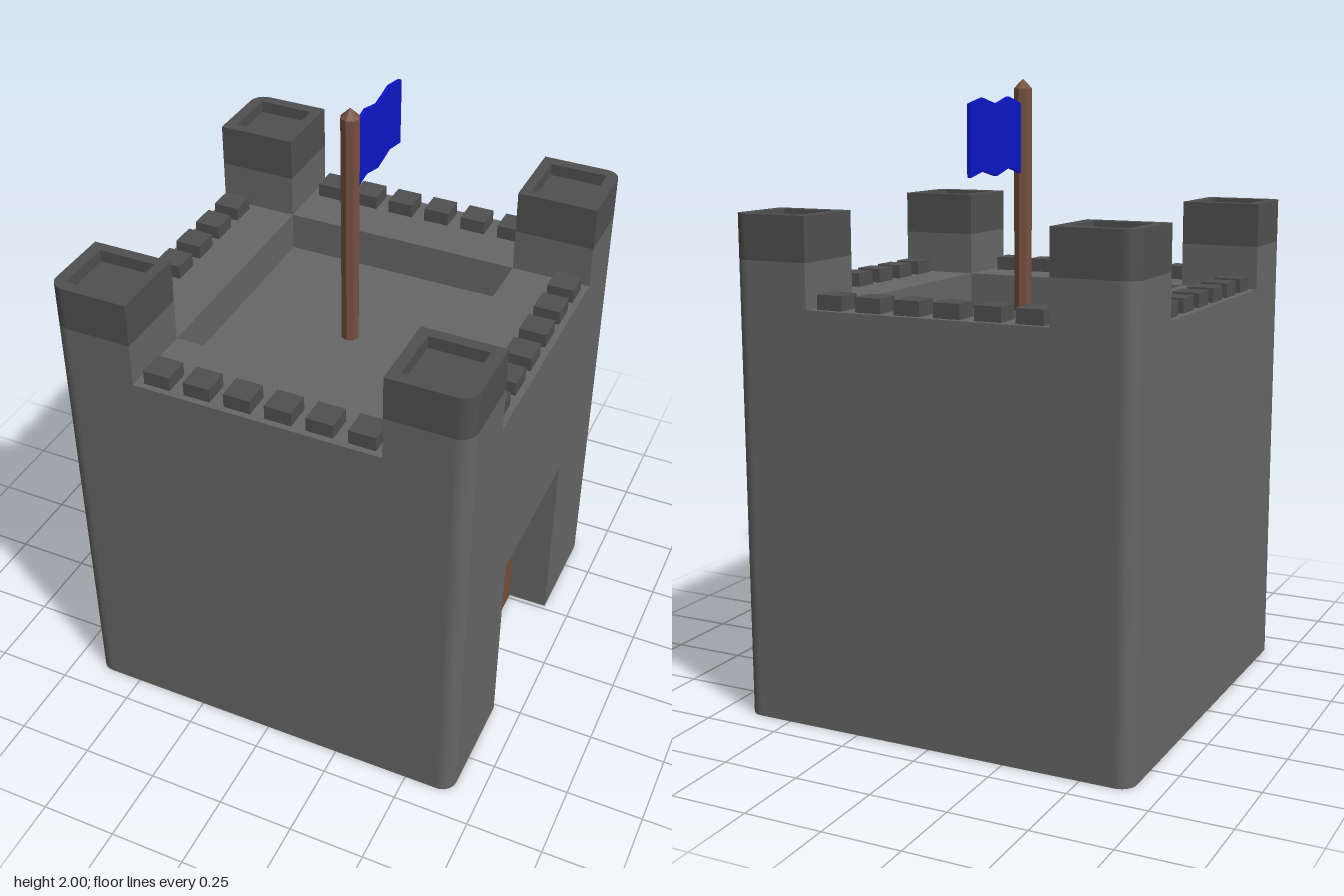
import * as THREE from 'three';

const STONE = 0x666666, DARK_STONE = 0x505050, WOOD = 0x744f3f, BLUE = 0x0c16c8;
const HALF = 0.66, INNER = 0.4, CORNER = 0.05;
const FLOOR = 1.19, WALL_TOP = 1.32, CAP_BASE = 1.46, CAP_TOP = 1.6, CAP_FLOOR = 1.56;
const DOOR_HALF = 0.265, DOOR_HEIGHT = 0.66, DOOR_X = 0.52;

function add(parent, name, geometry, color, flatShading = false) {
  const mesh = new THREE.Mesh(geometry, new THREE.MeshStandardMaterial({ color, flatShading }));
  mesh.name = name;
  parent.add(mesh);
  return mesh;
}

// Upright prism from a floor plan, between two heights
function prism(shape, bottom, top) {
  const g = new THREE.ExtrudeGeometry(shape, { depth: top - bottom, bevelEnabled: false, curveSegments: 5 });
  return g.rotateX(-Math.PI / 2).translate(0, bottom, 0);
}

function squarePath(center, half, Type = THREE.Path) {
  const a = center - half, b = center + half;
  return new Type([[a, a], [a, b], [b, b], [b, a]].map(p => new THREE.Vector2(...p)));
}

// Rounded square plan, optionally notched for the door on +x
function keepPlan(notched) {
  const s = new THREE.Shape(), h = HALF, c = h - CORNER;
  s.moveTo(h, -c);
  if (notched) {
    s.lineTo(h, -DOOR_HALF);
    s.lineTo(DOOR_X, -DOOR_HALF);
    s.lineTo(DOOR_X, DOOR_HALF);
    s.lineTo(h, DOOR_HALF);
  }
  s.lineTo(h, c);
  s.absarc(c, c, CORNER, 0, Math.PI / 2);
  s.lineTo(-c, h);
  s.absarc(-c, c, CORNER, Math.PI / 2, Math.PI);
  s.lineTo(-h, -c);
  s.absarc(-c, -c, CORNER, Math.PI, Math.PI * 1.5);
  s.lineTo(c, -h);
  s.absarc(c, -c, CORNER, Math.PI * 1.5, Math.PI * 2);
  return s;
}

// Tower plan with only its outer corner rounded
function towerPlan() {
  const s = new THREE.Shape(), c = HALF - CORNER;
  s.moveTo(INNER, INNER);
  s.lineTo(HALF, INNER);
  s.lineTo(HALF, c);
  s.absarc(c, c, CORNER, 0, Math.PI / 2);
  s.lineTo(INNER, HALF);
  s.closePath();
  return s;
}

export function createModel() {
  const castle = new THREE.Group();
  castle.name = 'castle';

  // Keep: notched base, solid middle, parapet around the sunken roof
  add(castle, 'keepBase', prism(keepPlan(true), 0, DOOR_HEIGHT), STONE);
  add(castle, 'keepUpper', prism(keepPlan(false), DOOR_HEIGHT, FLOOR), STONE);
  const parapet = keepPlan(false);
  parapet.holes.push(squarePath(0, INNER));
  add(castle, 'parapet', prism(parapet, FLOOR, WALL_TOP), STONE);

  // Door at the back of its recess
  add(castle, 'door', new THREE.BoxGeometry(0.02, DOOR_HEIGHT, DOOR_HALF * 2), WOOD)
    .position.set(DOOR_X - 0.005, DOOR_HEIGHT / 2, 0);

  // Four corner towers and four rows of merlons
  const rim = towerPlan();
  rim.holes.push(squarePath(0.528, 0.093));
  for (let i = 0; i < 4; i++) {
    const tower = new THREE.Group();
    tower.name = 'cornerTower' + (i + 1);
    tower.rotation.y = i * Math.PI / 2;
    add(tower, 'towerShaft', prism(towerPlan(), WALL_TOP, CAP_BASE), STONE);
    add(tower, 'towerCap', prism(towerPlan(), CAP_BASE, CAP_FLOOR), DARK_STONE);
    add(tower, 'towerRim', prism(rim, CAP_FLOOR, CAP_TOP), DARK_STONE);
    castle.add(tower);

    const row = new THREE.Group();
    row.name = 'merlonRow' + (i + 1);
    row.rotation.y = i * Math.PI / 2;
    for (let k = 0; k < 6; k++) {
      add(row, 'merlon', new THREE.BoxGeometry(0.086, 0.046, 0.086), DARK_STONE)
        .position.set((k - 2.5) * 0.132, WALL_TOP + 0.023, 0.597);
    }
    castle.add(row);
  }

  // Flagpole with a pointed tip
  add(castle, 'flagpole', new THREE.CylinderGeometry(0.031, 0.029, 1.97 - FLOOR, 8), WOOD, true)
    .position.y = (1.97 + FLOOR) / 2;
  add(castle, 'poleTip', new THREE.ConeGeometry(0.031, 0.03, 8), WOOD, true).position.y = 1.985;

  // Flag with wavy top and bottom edges, flying towards the back
  const edge = [[0.02, 0], [0.065, 0.014], [0.11, 0.024], [0.155, 0.012], [0.195, 0.002],
    [0.24, 0.011], [0.285, 0.021], [0.33, 0.012], [0.37, 0.004]];
  const outline = edge.map(([u, v]) => new THREE.Vector2(u, 1.702 + v))
    .concat(edge.map(([u, v]) => new THREE.Vector2(u, 1.921 + v)).reverse());
  const flag = new THREE.ExtrudeGeometry(new THREE.Shape(outline), { depth: 0.012, bevelEnabled: false });
  add(castle, 'flag', flag.translate(0, 0, -0.006).rotateY(Math.PI / 2), BLUE);

  return castle;
}
